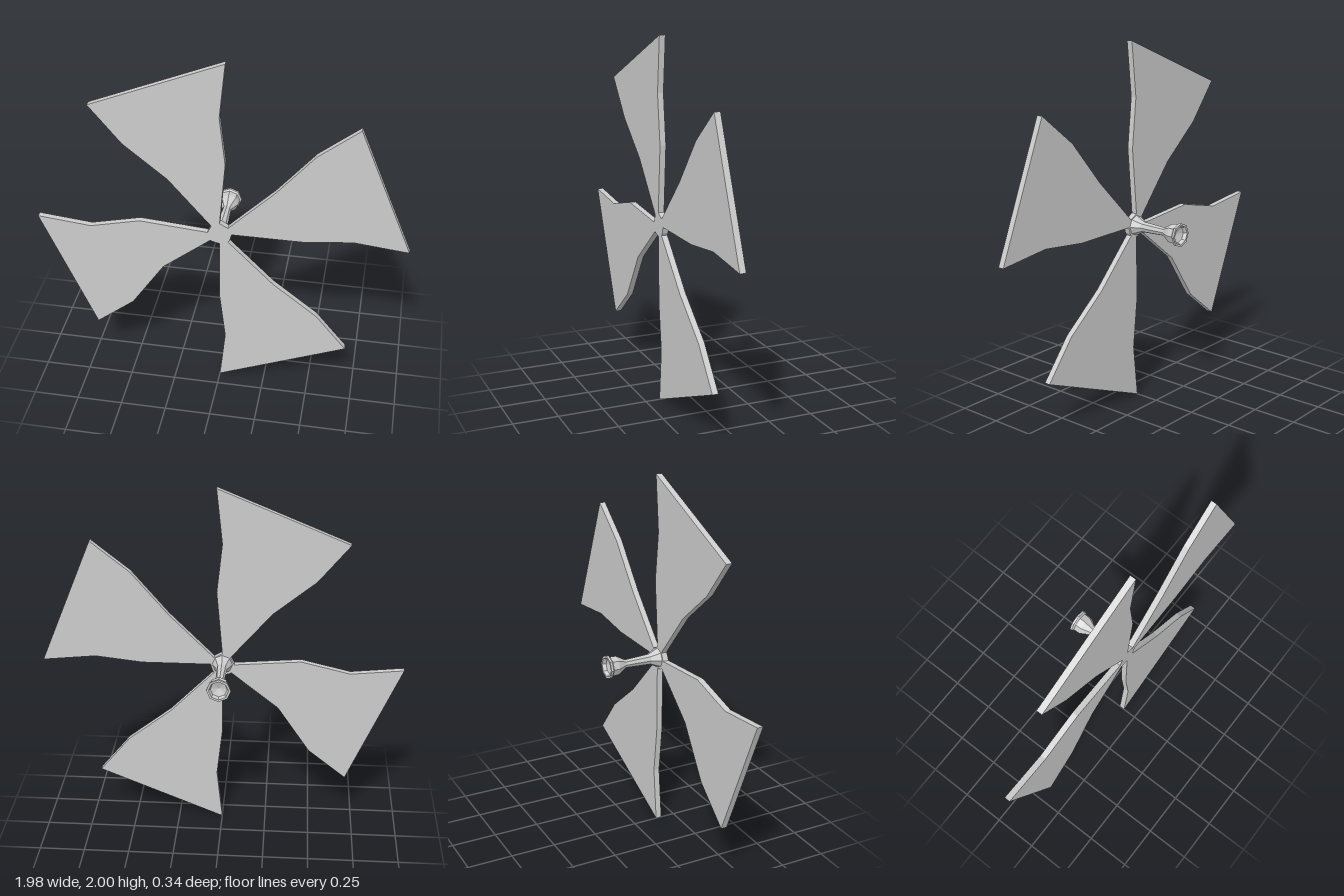
import * as THREE from 'three';

const material = new THREE.MeshStandardMaterial({ color: 0xcccccc, flatShading: true });

// Blade outlines around the hub, clockwise from the root of each blade
const bladeOutlines = [
  [[-0.05, 0.05], [-0.27, 0.31], [-0.5, 0.5], [-0.67, 0.71], [0.03, 1], [0, 0.7], [0.03, 0.43], [0, 0.065]],
  [[0.05, 0.045], [0.29, 0.29], [0.49, 0.53], [0.7, 0.7], [0.99, 0], [0.7, 0.03], [0.44, 0], [0.065, 0]],
  [[0.045, -0.05], [0.29, -0.3], [0.53, -0.49], [0.7, -0.7], [0, -0.995], [0.03, -0.7], [0, -0.43], [0, -0.065]],
  [[-0.05, -0.05], [-0.31, -0.26], [-0.49, -0.53], [-0.7, -0.7], [-0.99, -0.005], [-0.7, -0.035], [-0.43, 0.03], [-0.065, 0]],
];
// Small notch corners after each blade, where the hub shows between blades
const notches = [[0.045, 0.04], [0.055, -0.035], [-0.04, -0.055], [-0.045, 0.04]];

function makeBlades() {
  const points = bladeOutlines.flatMap((blade, i) => [...blade, notches[i]]);
  const shape = new THREE.Shape(points.map(([x, y]) => new THREE.Vector2(x, y)));
  const geometry = new THREE.ExtrudeGeometry(shape, { depth: 0.033, bevelEnabled: false });
  const mesh = new THREE.Mesh(geometry, material);
  mesh.name = 'blades';
  mesh.position.z = 0.137;
  return mesh;
}

// Eight-sided axle: cupped knob at the rear, thin neck, flared foot on the hub
function makeAxle() {
  const profile = [
    [0, -0.135], [0.045, -0.15], [0.053, -0.17], [0.065, -0.17], [0.065, -0.158],
    [0.056, -0.15], [0.054, -0.115], [0.023, -0.06], [0.03, 0.085], [0.056, 0.138], [0, 0.138],
  ].map(([r, z]) => new THREE.Vector2(r, z));
  const geometry = new THREE.LatheGeometry(profile, 8);
  geometry.rotateX(Math.PI / 2);
  const mesh = new THREE.Mesh(geometry, material);
  mesh.name = 'axle';
  return mesh;
}

export function createModel() {
  const group = new THREE.Group();
  group.name = 'propeller';
  const rotor = new THREE.Group();
  rotor.name = 'rotor';
  rotor.position.y = 0.995;
  rotor.add(makeBlades(), makeAxle());
  rotor.position.y = 1;
  group.add(rotor);
  return group;
}
